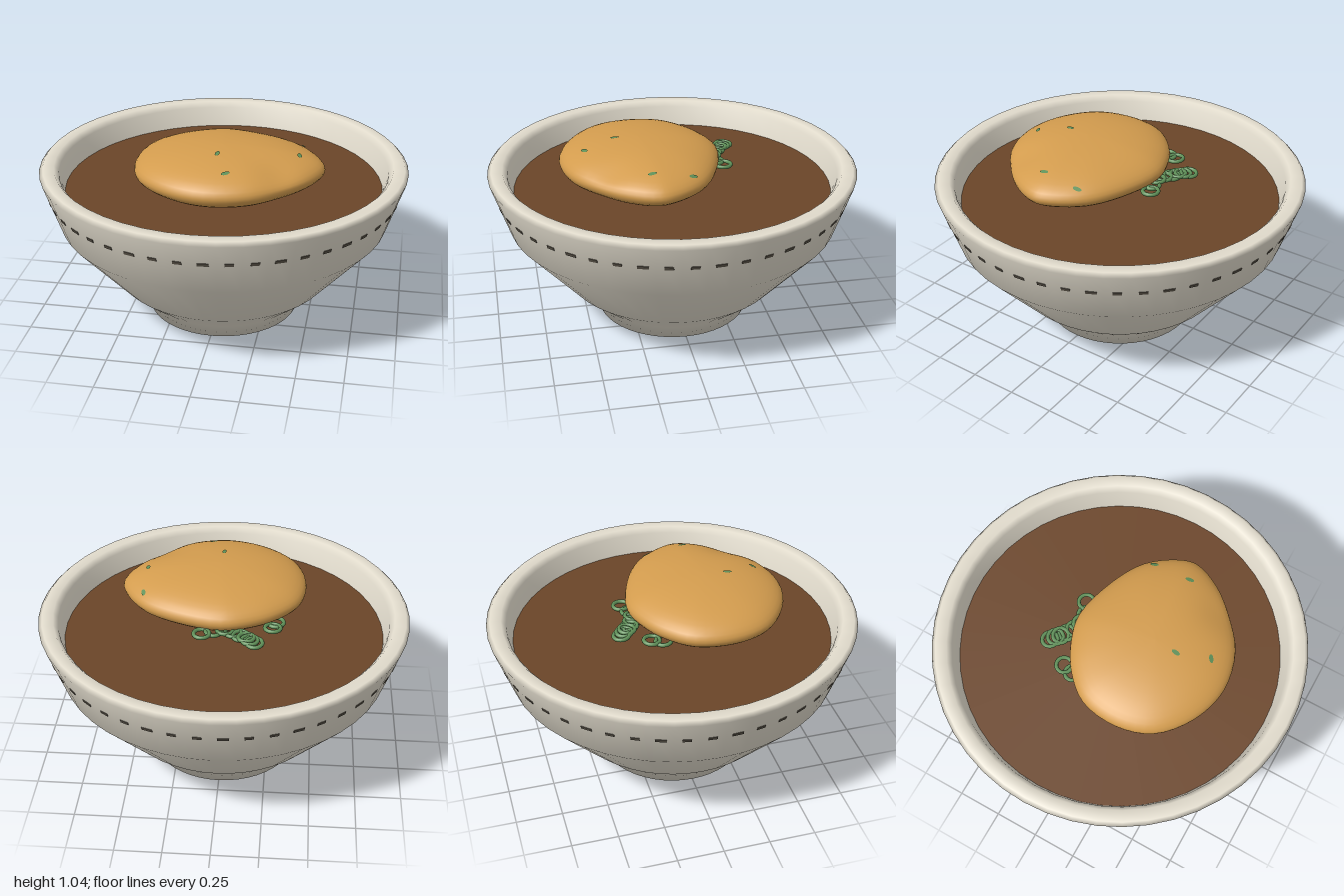
import * as THREE from 'three';

const mat = (name, color) => {
  const m = new THREE.MeshStandardMaterial({ color });
  m.name = name;
  return m;
};

const EGG_Y = 0.91, EGG_X = 0.03, EGG_Z = 0.19;

// Soft hollow near the front left edge of the egg topping
const dent = (x, z) => 0.03 * Math.exp(-((x - 0.38) ** 2 + (z - 0.42) ** 2) / 0.012);

// Rounded topping: an irregular outline swept from underside to crown in loops
function toppingGeometry() {
  const outline = [
    [0, -0.25], [0.25, -0.19], [0.43, -0.09], [0.54, 0.06], [0.565, 0.16],
    [0.5, 0.315], [0.38, 0.45], [0.22, 0.57], [0, 0.615], [-0.21, 0.555],
    [-0.38, 0.41], [-0.44, 0.22], [-0.41, 0.01], [-0.29, -0.13], [-0.155, -0.21],
  ].map(([x, z]) => new THREE.Vector3(x, 0, z));
  const ring = new THREE.CatmullRomCurve3(outline, true).getPoints(60).slice(0, 60);
  const n = ring.length, rows = 24, pos = [], idx = [];
  for (let j = 0; j <= rows; j++) {
    const a = -Math.PI / 2 + (Math.PI * j) / rows, s = Math.cos(a);
    for (const p of ring) {
      const x = EGG_X + (p.x - EGG_X) * s, z = EGG_Z + (p.z - EGG_Z) * s;
      const top = Math.max(0, Math.sin(a));
      pos.push(x, EGG_Y + 0.13 * Math.sin(a) - dent(x, z) * top, z);
    }
  }
  for (let j = 0; j < rows; j++) {
    for (let i = 0; i < n; i++) {
      const a = j * n + i, b = j * n + ((i + 1) % n), c = a + n, d = b + n;
      idx.push(a, c, b, b, c, d);
    }
  }
  const g = new THREE.BufferGeometry();
  g.setAttribute('position', new THREE.Float32BufferAttribute(pos, 3));
  g.setIndex(idx);
  g.computeVertexNormals();
  return g;
}

export function createModel() {
  const model = new THREE.Group();
  const ceramic = mat('cream ceramic', 0xe2dccd);
  const broth = mat('brown broth', 0x6b4528);
  const gold = mat('golden topping', 0xd39c4e);
  const green = mat('onion green', 0x5f9058);
  const dark = mat('dark glaze', 0x5a5348);

  const add = (name, geo, material, parent = model) => {
    const m = new THREE.Mesh(geo, material);
    m.name = name;
    parent.add(m);
    return m;
  };

  // Bowl: foot, flared wall, rolled rim and inside wall
  const profile = [
    [0, 0], [0.42, 0], [0.45, 0.08], [0.6, 0.205], [0.9, 0.55], [1, 0.85],
    [0.98, 0.87], [0.92, 0.87], [0.895, 0.84], [0.865, 0.72], [0.82, 0.55],
    [0.52, 0.24], [0, 0.14],
  ].map(([x, y]) => new THREE.Vector2(x, y));
  const segments = 48;
  add('bowl', new THREE.LatheGeometry(profile, segments), ceramic);

  // Dashed stripe, one thin plate in the middle of each wall facet
  const stripe = new THREE.Group();
  stripe.name = 'dashedStripe';
  model.add(stripe);
  const r = 0.962 * Math.cos(Math.PI / segments);
  for (let k = 0; k < segments; k++) {
    const a = ((k + 0.5) / segments) * Math.PI * 2;
    const dash = add('dash', new THREE.BoxGeometry(k % 3 ? 0.045 : 0.058, 0.018, 0.006), dark, stripe);
    dash.position.set(r * Math.sin(a), 0.735, r * Math.cos(a));
    dash.rotation.set(Math.atan(1 / 3), a, 0, 'YXZ');
  }

  // Broth surface
  const soup = add('broth', new THREE.CircleGeometry(0.868, segments), broth);
  soup.rotation.x = -Math.PI / 2;
  soup.position.y = 0.73;

  // Topping
  add('topping', toppingGeometry(), gold);

  // Sliced onion rings beside the topping
  const rings = [
    [-0.18, -0.325], [-0.155, -0.305], [-0.135, -0.285], [-0.105, -0.265],
    [-0.065, -0.24], [-0.02, -0.225], [0.04, -0.23], [0.1, -0.262],
    [-0.27, -0.185], [-0.285, -0.125],
  ];
  const onions = new THREE.Group();
  onions.name = 'onionRings';
  model.add(onions);
  rings.forEach(([x, z], i) => {
    const o = add('onionRing', new THREE.TorusGeometry(0.042, 0.011, 8, 20), green, onions);
    o.position.set(x, 0.868 + (i % 3) * 0.002, z);
    o.rotation.set(-Math.PI / 2 + 0.06 * ((i % 3) - 1), 0, 0);
  });

  // Small green flecks lying on the topping
  model.updateMatrixWorld(true);
  const ray = new THREE.Raycaster();
  const down = new THREE.Vector3(0, -1, 0);
  const topping = model.getObjectByName('topping');
  [[0.43, -0.03, 1.3], [0.43, 0.18, 1.5], [0.02, 0.315, 1.5], [0.09, 0.485, 0.5]].forEach(([x, z, turn]) => {
    ray.set(new THREE.Vector3(x, 2, z), down);
    const hit = ray.intersectObject(topping)[0];
    if (!hit) return;
    const fleck = add('greenFleck', new THREE.CircleGeometry(1, 12).scale(0.024, 0.012, 1).rotateZ(turn), green);
    fleck.position.copy(hit.point).addScaledVector(hit.face.normal, 0.004);
    fleck.quaternion.setFromUnitVectors(new THREE.Vector3(0, 0, 1), hit.face.normal);
  });

  return model;
}
